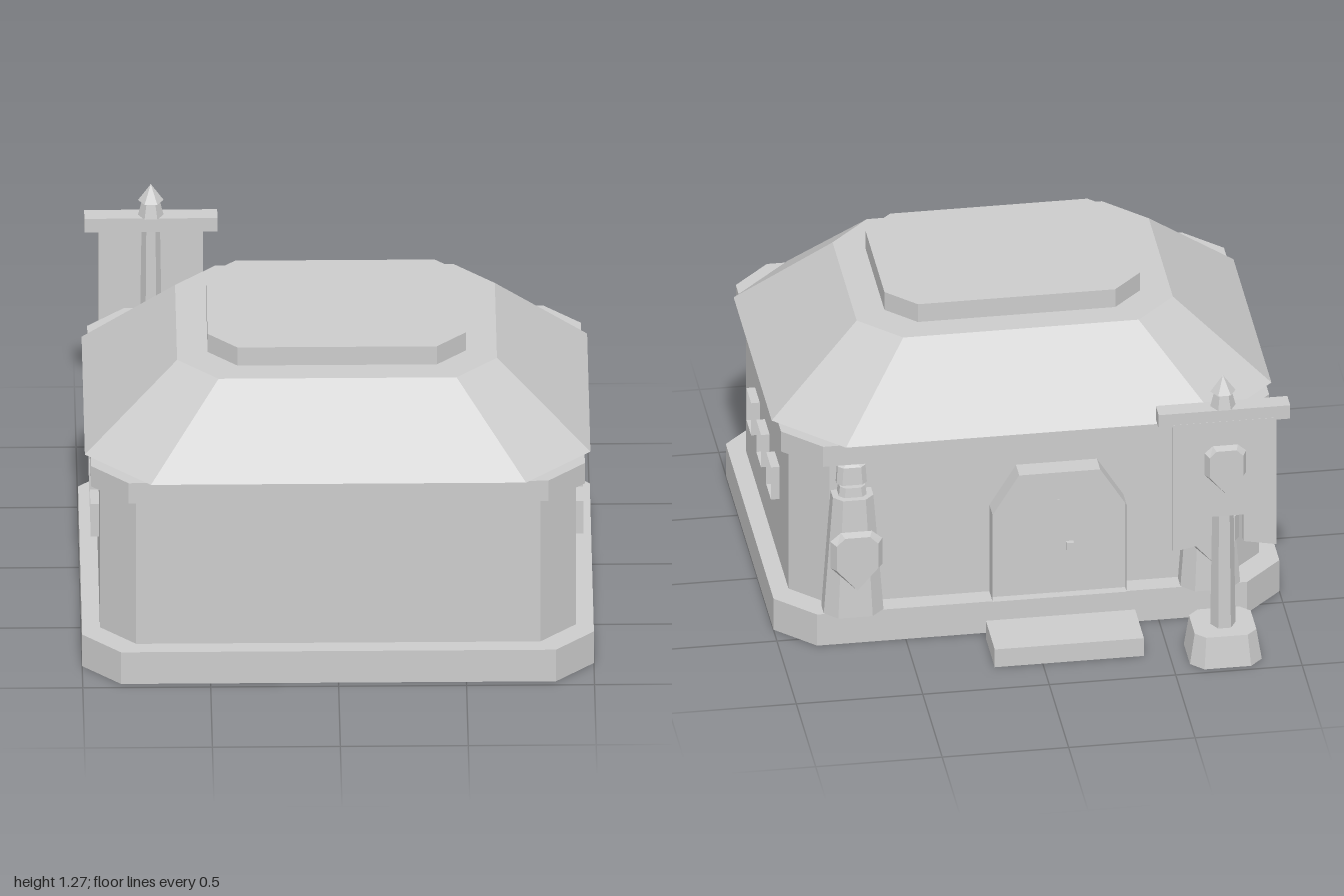
import * as THREE from 'three';

// Double-sided because several parts are open shells
const stone = new THREE.MeshStandardMaterial({ color: 0xcccccc, side: THREE.DoubleSide });
stone.name = 'stone grey';

// Faceted solid through convex rings, counter-clockwise seen from the last ring's end
function loft(rings, closeStart = true, closeEnd = true) {
  const pos = [];
  const tri = (a, b, c) => pos.push(...a, ...b, ...c);
  const n = rings[0].length;
  for (let k = 0; k < rings.length - 1; k++) {
    const a = rings[k], b = rings[k + 1];
    for (let i = 0; i < n; i++) {
      const j = (i + 1) % n;
      tri(a[i], a[j], b[j]);
      tri(a[i], b[j], b[i]);
    }
  }
  const first = rings[0], last = rings[rings.length - 1];
  for (let i = 1; i < n - 1; i++) {
    if (closeStart) tri(first[0], first[i + 1], first[i]);
    if (closeEnd) tri(last[0], last[i], last[i + 1]);
  }
  const g = new THREE.BufferGeometry();
  g.setAttribute('position', new THREE.Float32BufferAttribute(pos, 3));
  g.computeVertexNormals();
  return g;
}

// Horizontal rectangle with cut corners at height y
function ring(y, cx, hx, z0, z1, c) {
  const x0 = cx - hx, x1 = cx + hx;
  return [[x0 + c, y, z1], [x1 - c, y, z1], [x1, y, z1 - c], [x1, y, z0 + c],
    [x1 - c, y, z0], [x0 + c, y, z0], [x0, y, z0 + c], [x0, y, z1 - c]];
}

export function createModel() {
  const root = new THREE.Group();
  root.name = 'guardHall';

  const add = (name, geometry, x = 0, y = 0, z = 0) => {
    const m = new THREE.Mesh(geometry, stone);
    m.name = name;
    m.position.set(x, y, z);
    root.add(m);
  };
  const box = (name, w, h, d, x, y, z) => add(name, new THREE.BoxGeometry(w, h, d), x, y, z);

  // Heater shield facing -z with slanted edges, back at z
  const shield = (name, x, y, z, w, h) => {
    const outline = [[-0.5, 0.36], [-0.3, 0.5], [0.3, 0.5], [0.5, 0.36], [0.5, -0.1], [0, -0.5], [-0.5, -0.1]];
    const at = (sx, sy, d) => outline.map(([u, v]) => [u * w * sx, v * h * sy, -d]);
    add(name, loft([at(1, 1, 0), at(0.8, 0.93, 0.033)]), x, y, z);
  };

  // Hall body, hollow under the foundation
  add('foundation', loft([ring(0, 0, 1, -0.56, 0.97, 0.15), ring(0.14, 0, 1, -0.56, 0.97, 0.15)], false));
  add('walls', loft([ring(0.14, 0, 0.93, -0.48, 0.9, 0.14), ring(0.78, 0, 0.93, -0.48, 0.9, 0.14)], false));
  add('eaves', loft([ring(0.78, 0, 0.965, -0.52, 0.935, 0.145), ring(0.87, 0, 0.965, -0.52, 0.935, 0.145)]));
  add('roof', loft([ring(0.87, 0, 0.988, -0.54, 0.95, 0.255), ring(1.19, 0, 0.625, -0.27, 0.672, 0.16)]));
  add('roofCap', loft([ring(1.19, 0, 0.505, -0.158, 0.563, 0.115), ring(1.27, 0, 0.505, -0.158, 0.563, 0.115)]));

  // Three open window surrounds on each side
  for (const s of [-1, 1]) {
    for (const z of [0.46, 0.207, -0.05]) {
      const frame = (x) => [[-1, -1], [-1, 1], [1, 1], [1, -1]]
        .map(([u, v]) => [x, 0.486 + v * 0.0725, z - s * u * 0.061]);
      add('windowFrame', loft([frame(s * 0.925), frame(s * 0.964)].map((r) => r.reverse()), false, false));
    }
  }

  // Door surround open at the front, recessed panel, seam, handle and step
  const doorX = -0.108;
  const arch = [[-0.265, 0.14], [-0.265, 0.53], [-0.16, 0.7], [0.16, 0.7], [0.265, 0.53], [0.265, 0.14]];
  const archAt = (z) => arch.map(([x, y]) => [x, y, z]);
  add('doorSurround', loft([archAt(-0.48), archAt(-0.565)], false, false), doorX);
  add('doorPanel', loft([archAt(-0.48), archAt(-0.528)], false, true), doorX);
  box('doorSeam', 0.008, 0.42, 0.006, doorX, 0.35, -0.529);
  box('doorHandle', 0.03, 0.035, 0.02, doorX - 0.045, 0.35, -0.536);
  add('doorStep', loft([ring(0, doorX + 0.003, 0.295, -0.833, -0.605, 0), ring(0.08, doorX + 0.003, 0.295, -0.833, -0.605, 0)], false));

  // Tapered pillars with capitals and shields either side of the door
  for (const s of [-1, 1]) {
    const x = s * 0.705;
    add('pillar', loft([ring(0.14, x, 0.118, -0.604, -0.44, 0.05), ring(0.65, x, 0.08, -0.576, -0.44, 0.035)]));
    add('pillarNeck', loft([ring(0.65, x, 0.055, -0.552, -0.44, 0.02), ring(0.69, x, 0.05, -0.548, -0.44, 0.02)]));
    add('pillarTop', loft([ring(0.69, x, 0.06, -0.525, -0.44, 0.02), ring(0.765, x, 0.055, -0.52, -0.44, 0.02),
      ring(0.78, x, 0.025, -0.5, -0.45, 0.01)]));
    shield('pillarShield', x, 0.408, -0.623, 0.205, 0.255);
  }

  // Banner pole on a hollow base
  const px = -0.71, pz = -0.846;
  add('poleBase', loft([ring(0, px, 0.142, pz - 0.128, pz + 0.132, 0.05), ring(0.13, px, 0.122, pz - 0.108, pz + 0.118, 0.04)], false));
  const hex = (name, rt, rb, y0, y1) => {
    const g = new THREE.CylinderGeometry(rt, rb, y1 - y0, 6).toNonIndexed();
    g.rotateY(Math.PI / 6);
    g.computeVertexNormals();
    add(name, g, px, (y0 + y1) / 2, pz);
  };
  hex('pole', 0.036, 0.05, 0.13, 1.06);
  hex('finialCollar', 0.034, 0.05, 1.11, 1.175);
  hex('finialTip', 0, 0.05, 1.175, 1.245);
  box('crossbar', 0.52, 0.06, 0.074, px, 1.08, -0.85);

  // Banner with a notched lower edge
  const cloth = new THREE.Shape([[-0.205, 1.06], [-0.205, 0.49], [-0.075, 0.515], [-0.075, 0.635],
    [0.075, 0.635], [0.075, 0.515], [0.205, 0.49], [0.205, 1.06]].map(([x, y]) => new THREE.Vector2(x, y)));
  add('banner', new THREE.ExtrudeGeometry(cloth, { depth: 0.02, bevelEnabled: false }), px, 0, -0.888);
  shield('bannerShield', px, 0.86, -0.91, 0.165, 0.21);

  return root;
}
